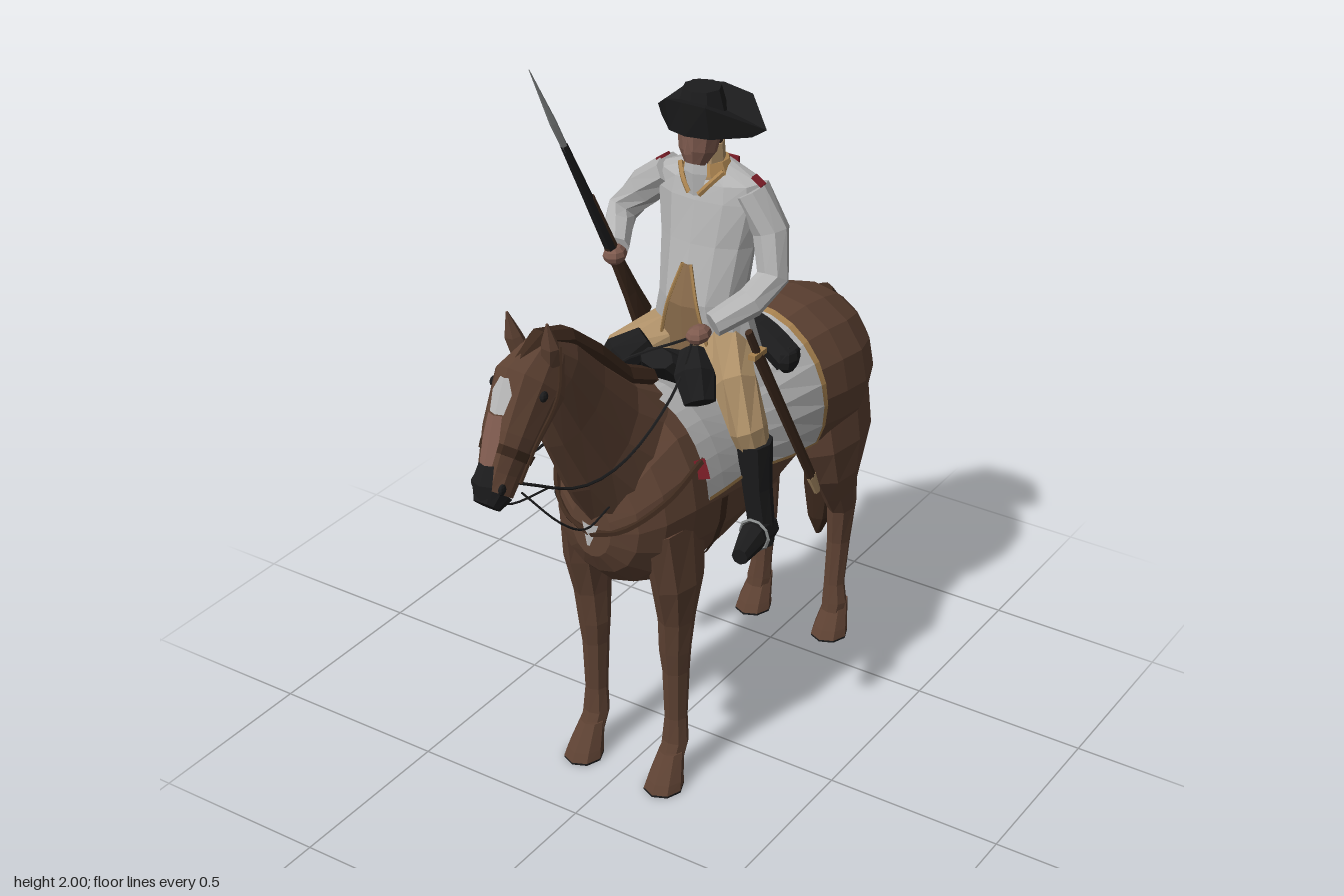
import * as THREE from 'three';

const mat = (name, color, side = THREE.FrontSide) => {
  const m = new THREE.MeshStandardMaterial({ color, side });
  m.name = name;
  return m;
};
const V = (x, y, z) => new THREE.Vector3(x, y, z);

export function createModel() {
  const D = THREE.DoubleSide;
  const brown = mat('horse brown', 0x5e4233), dark = mat('dark brown', 0x3d291d, D);
  const white = mat('coat white', 0xb6b6b6, D), tan = mat('breeches tan', 0xae9068, D);
  const ochre = mat('trim ochre', 0xa8824f, D), black = mat('black', 0x1c1c1d, D);
  const skin = mat('skin', 0x7f5b4f, D), red = mat('red', 0x7c1d27, D), steel = mat('steel', 0x858888);
  const drab = mat('waistcoat brown', 0x8a6c4c, D);

  const model = new THREE.Group();
  const horse = new THREE.Group(); horse.name = 'horse';
  const rider = new THREE.Group(); rider.name = 'rider';
  model.add(horse, rider);

  // Faceted mesh
  function add(group, name, geo, material, x = 0, y = 0, z = 0) {
    const g = geo.index ? geo.toNonIndexed() : geo;
    g.computeVertexNormals();
    const m = new THREE.Mesh(g, material);
    m.name = name;
    m.position.set(x, y, z);
    group.add(m);
    return m;
  }
  // Skin over rings of points; closed rings get end caps
  function loft(rings, closed = true) {
    const p = [], n = rings[0].length;
    const tri = (...v) => v.forEach(q => p.push(q.x, q.y, q.z));
    for (let i = 0; i + 1 < rings.length; i++)
      for (let j = 0; j < (closed ? n : n - 1); j++) {
        const k = (j + 1) % n, a = rings[i], b = rings[i + 1];
        tri(a[j], a[k], b[k]);
        tri(a[j], b[k], b[j]);
      }
    if (closed) [[rings[0], true], [rings[rings.length - 1], false]].forEach(([r, flip]) => {
      const c = r.reduce((s, q) => s.add(q), V(0, 0, 0)).divideScalar(n);
      for (let j = 0; j < n; j++) {
        const k = (j + 1) % n;
        flip ? tri(c, r[k], r[j]) : tri(c, r[j], r[k]);
      }
    });
    const g = new THREE.BufferGeometry();
    g.setAttribute('position', new THREE.Float32BufferAttribute(p, 3));
    return g;
  }
  // Limb through sections [x, y, z, half width, half depth]
  function limb(pts, n = 8, s = 1) {
    const c = pts.map(q => V(q[0] * s, q[1], q[2]));
    return loft(pts.map((q, i) => {
      const t = c[Math.min(i + 1, c.length - 1)].clone().sub(c[Math.max(i - 1, 0)]).normalize();
      const side = V(1, 0, 0).addScaledVector(t, -t.x).normalize();
      const d = t.clone().cross(side);
      return Array.from({ length: n }, (_, j) => {
        const a = j / n * Math.PI * 2;
        return c[i].clone().addScaledVector(side, Math.cos(a) * q[3]).addScaledVector(d, Math.sin(a) * q[4]);
      });
    }));
  }
  // Front-facing strip through rows [y, half width, z]
  const panel = (rows, drop) => loft(rows.map(([y, h, z]) =>
    [V(-h, y, z - h * drop), V(0, y, z), V(h, y, z - h * drop)]), false);
  const cord = (pts, r = 0.005, n = 5) => new THREE.TubeGeometry(
    new THREE.CatmullRomCurve3(pts.map(p => V(...p))), 14, r, n);
  const level = (x, y, z, rx, rz) => Array.from({ length: 8 }, (_, j) =>
    V(x + Math.cos(j * Math.PI / 4) * rx, y, z - Math.sin(j * Math.PI / 4) * rz));
  const ball = (r, sx, sy, sz) => new THREE.SphereGeometry(r, 8, 6).scale(sx, sy, sz);
  const both = fn => [1, -1].forEach(fn);

  // Horse barrel: [z, half width, top, bottom]
  const barrel = [
    [-0.8, 0.07, 1.0, 0.8], [-0.77, 0.145, 1.04, 0.73], [-0.7, 0.198, 1.09, 0.68], [-0.6, 0.232, 1.125, 0.65],
    [-0.5, 0.23, 1.14, 0.66], [-0.4, 0.21, 1.135, 0.675], [-0.2, 0.208, 1.08, 0.63], [0, 0.207, 1.08, 0.6],
    [0.12, 0.205, 1.13, 0.585], [0.22, 0.2, 1.14, 0.6], [0.31, 0.17, 1.08, 0.64], [0.37, 0.125, 1.0, 0.7],
    [0.402, 0.06, 0.93, 0.76]];
  function barrelAt(z) {
    let i = 0;
    while (i < barrel.length - 2 && barrel[i + 1][0] < z) i++;
    const a = barrel[i], b = barrel[i + 1], t = (z - a[0]) / (b[0] - a[0]);
    const [w, top, bot] = [1, 2, 3].map(k => a[k] + (b[k] - a[k]) * t);
    return { w, cy: (top + bot) / 2, h: (top - bot) / 2 };
  }
  const barrelPoint = (z, a, off) => {
    const { w, cy, h } = barrelAt(z);
    return V(Math.cos(a) * (w + off), cy + Math.sin(a) * (h + off), z);
  };
  const angleFor = (z, y) => {
    const { cy, h } = barrelAt(z);
    return Math.asin(THREE.MathUtils.clamp((y - cy) / h, -1, 1));
  };
  const wrap = (zs, from, to, off, n = 12) => loft(zs.map(z =>
    Array.from({ length: n + 1 }, (_, j) => barrelPoint(z, from(z) + (to(z) - from(z)) * j / n, off))), false);
  add(horse, 'body', loft(barrel.map(([z]) =>
    Array.from({ length: 16 }, (_, j) => barrelPoint(z, j / 8 * Math.PI, 0)))), brown);

  // Neck, head and muzzle
  add(horse, 'neck', limb([[0, 0.985, 0.24, 0.135, 0.205], [0, 1.1, 0.36, 0.09, 0.165], [0, 1.24, 0.47, 0.07, 0.13],
    [0, 1.36, 0.555, 0.06, 0.1], [0, 1.42, 0.61, 0.05, 0.07]], 12), brown);
  add(horse, 'head', limb([[0, 1.43, 0.57, 0.05, 0.065], [0, 1.37, 0.64, 0.08, 0.115], [0, 1.27, 0.72, 0.067, 0.085],
    [0, 1.19, 0.77, 0.05, 0.065], [0, 1.15, 0.8, 0.048, 0.057]], 12), brown);
  add(horse, 'muzzle', limb([[0, 1.15, 0.8, 0.048, 0.057], [0, 1.123, 0.825, 0.034, 0.035]], 12), black);
  add(horse, 'nosePatch', panel([[1.235, 0.022, 0.827], [1.19, 0.03, 0.851], [1.145, 0.024, 0.85]], 0.35), black);
  add(horse, 'blaze', panel([1.43, 1.395, 1.35].map((y, i) => [y, [0.012, 0.028, 0.02][i], 0.737 + (1.44 - y) * 0.478]), 0.35), white);
  add(horse, 'noseStripe', panel([1.35, 1.29, 1.235].map((y, i) => [y, [0.02, 0.024, 0.018][i], 0.796 + (1.323 - y) * 0.37]), 0.35), skin);
  add(horse, 'mane', limb([[0, 1.17, 0.15, 0.04, 0.026], [0, 1.225, 0.265, 0.042, 0.03], [0, 1.345, 0.39, 0.04, 0.03],
    [0, 1.435, 0.5, 0.035, 0.028], [0, 1.475, 0.6, 0.028, 0.022], [0, 1.435, 0.71, 0.01, 0.012]], 6), dark);
  add(horse, 'tail', limb([[0, 1.04, -0.75, 0.03, 0.03], [0, 0.97, -0.8, 0.05, 0.035], [0, 0.85, -0.797, 0.058, 0.048],
    [0, 0.6, -0.782, 0.062, 0.064], [0, 0.4, -0.78, 0.055, 0.056], [0, 0.29, -0.772, 0.035, 0.038], [0, 0.23, -0.77, 0.008, 0.015]]), dark);

  both(s => {
    add(horse, 'ear', limb([[0.042, 1.43, 0.615, 0.028, 0.024], [0.054, 1.48, 0.63, 0.025, 0.02], [0.058, 1.545, 0.645, 0.003, 0.003]], 6, s), brown);
    add(horse, 'eye', ball(0.014, 0.6, 1, 1), black, 0.073 * s, 1.375, 0.685);
    add(horse, 'nostril', ball(0.014, 0.5, 1.1, 1), black, 0.04 * s, 1.175, 0.815);
    // Legs and hooves
    add(horse, 'frontLeg', limb([[0.13, 0.82, 0.22, 0.06, 0.12], [0.14, 0.64, 0.215, 0.058, 0.09], [0.135, 0.52, 0.212, 0.047, 0.058],
      [0.13, 0.42, 0.212, 0.043, 0.046], [0.13, 0.35, 0.208, 0.036, 0.04], [0.13, 0.2, 0.208, 0.031, 0.033],
      [0.13, 0.12, 0.212, 0.038, 0.036], [0.13, 0.07, 0.232, 0.034, 0.034]], 8, s), brown);
    add(horse, 'hindLeg', limb([[0.11, 0.85, -0.6, 0.09, 0.16], [0.135, 0.68, -0.61, 0.08, 0.148], [0.14, 0.58, -0.612, 0.065, 0.098],
      [0.135, 0.5, -0.64, 0.047, 0.069], [0.13, 0.42, -0.67, 0.04, 0.051], [0.125, 0.3, -0.668, 0.033, 0.039],
      [0.125, 0.16, -0.65, 0.031, 0.032], [0.13, 0.1, -0.645, 0.038, 0.036], [0.13, 0.07, -0.638, 0.034, 0.034]], 8, s), brown);
    [0.272, -0.617].forEach(z => {
      add(horse, 'hoof', loft([level(0.132 * s, 0.006, z, 0.054, 0.058), level(0.132 * s, 0.03, z - 0.008, 0.05, 0.052),
        level(0.13 * s, 0.1, z - 0.04, 0.035, 0.035)]), brown);
      add(horse, 'sole', loft([level(0.132 * s, 0, z, 0.054, 0.058), level(0.132 * s, 0.006, z, 0.054, 0.058)]), black);
    });
    // Bridle, reins and breast strap
    add(horse, 'rein', cord([[0.05 * s, 1.17, 0.76], [0.1 * s, 1.09, 0.59], [0.11 * s, 1.08, 0.4], [0.1 * s, 1.17, 0.16], [0.1, 1.28, 0.08]], 0.004), black);
    add(horse, 'looseRein', cord([[0.04 * s, 1.13, 0.74], [0.1 * s, 1.03, 0.67], [0.11 * s, 0.97, 0.58], [0.09 * s, 0.96, 0.45]], 0.003), black);
    add(horse, 'cheekStrap', cord([[0.055 * s, 1.46, 0.59], [0.084 * s, 1.36, 0.645], [0.07 * s, 1.26, 0.715], [0.053 * s, 1.17, 0.76]], 0.005), dark);
    add(horse, 'breastStrap', cord([[0.195 * s, 1.0, 0.18], [0.17 * s, 0.93, 0.31], [0.09 * s, 0.86, 0.39], [0, 0.83, 0.408]], 0.009), dark);
  });
  add(horse, 'noseband', limb([[0, 1.24, 0.735, 0.064, 0.083], [0, 1.222, 0.749, 0.061, 0.079]], 12), dark);
  add(horse, 'breastOrnament', panel([[0.86, 0.025, 0.414], [0.8, 0.004, 0.418]], 0.3), white);
  add(horse, 'girth', wrap([0.085, 0.115], () => Math.PI, () => Math.PI * 2, 0.006), dark);

  // Saddle cloth with trim and corner patches
  const zs = [-0.385, -0.2, 0, 0.12, 0.19];
  const low = z => angleFor(z, 0.88 + (z < 0 ? z * 0.23 : z * 0.05));
  add(horse, 'saddleCloth', wrap(zs, low, z => Math.PI - low(z), 0.018, 16), white);
  add(horse, 'clothRearTrim', wrap([-0.39, -0.37], low, z => Math.PI - low(z), 0.022, 16), ochre);
  [[z => low(z), z => low(z) + 0.035], [z => Math.PI - low(z) - 0.035, z => Math.PI - low(z)]].forEach(([a, b]) =>
    add(horse, 'clothLowerTrim', wrap(zs, a, b, 0.022, 2), ochre));
  add(horse, 'rearClothPatch', wrap([-0.362, -0.318], z => Math.PI - low(z) - 0.32, z => Math.PI - low(z) - 0.07, 0.023, 3), red);
  // Red edging at the cloth's front corners, turned to the front
  const edge = (from, to) => loft([0.03, -0.004].map(off => [0, 1, 2, 3].map(j =>
    barrelPoint(0.19, from + (to - from) * j / 3, off).setZ(0.194 - off * 0.2))), false);
  add(horse, 'frontClothPatch', edge(Math.PI - 0.95, Math.PI - 0.42), red);
  add(horse, 'frontClothPatch', edge(0.3, 0.5), red);

  // Saddle, holsters and rear pack
  add(horse, 'saddle', limb([[0, 1.12, -0.28, 0.13, 0.04], [0, 1.1, -0.12, 0.13, 0.04], [0, 1.14, 0.04, 0.1, 0.045], [0, 1.2, 0.1, 0.05, 0.03]]), black);
  both(s => {
    add(horse, 'holster', limb([[0.07, 1.215, 0.045, 0.035, 0.03], [0.11, 1.175, 0.09, 0.055, 0.063], [0.145, 1.12, 0.12, 0.042, 0.045]], 8, s), black);
    add(horse, 'packEnd', ball(0.043, 0.7, 1, 1), black, 0.172 * s, 1.088, -0.27);
  });
  add(horse, 'rearPack', cord([[-0.175, 1.085, -0.27], [-0.09, 1.135, -0.28], [0, 1.15, -0.285], [0.09, 1.135, -0.28], [0.175, 1.085, -0.27]], 0.044, 7), black);

  // Rider's coat and front
  add(rider, 'coat', limb([[0, 1.07, -0.142, 0.19, 0.095], [0, 1.18, -0.13, 0.155, 0.1], [0, 1.3, -0.12, 0.12, 0.1],
    [0, 1.45, -0.145, 0.135, 0.09], [0, 1.57, -0.155, 0.155, 0.078], [0, 1.625, -0.155, 0.145, 0.066], [0, 1.66, -0.145, 0.06, 0.045]], 12), white);
  add(rider, 'waistcoat', panel([[1.41, 0.01, -0.038], [1.3, 0.045, -0.013], [1.18, 0.075, -0.02], [1.12, 0.085, -0.024]], 0.22), drab);
  add(rider, 'napePatch', new THREE.BoxGeometry(0.035, 0.05, 0.008), red, 0.03, 1.632, -0.212);
  both(s => {
    add(rider, 'lowerTrim', cord([[0.075 * s, 1.18, -0.03], [0.045 * s, 1.3, -0.02], [0.012 * s, 1.41, -0.04]], 0.005), ochre);
    add(rider, 'collarTrim', cord([[0.015 * s, 1.595, -0.073], [0.04 * s, 1.625, -0.085], [0.065 * s, 1.655, -0.11]], 0.008), ochre);
    add(rider, 'shoulderStrap', new THREE.BoxGeometry(0.035, 0.008, 0.02).rotateZ(-0.6 * s), red, 0.145 * s, 1.636, -0.15);
    // Legs, boots and stirrups
    add(rider, 'thigh', limb([[0.07, 1.18, -0.1, 0.075, 0.075], [0.17, 1.12, -0.01, 0.06, 0.075], [0.228, 1.02, 0.015, 0.046, 0.058], [0.24, 0.95, 0, 0.038, 0.045]], 8, s), tan);
    add(rider, 'boot', limb([[0.24, 0.985, 0.005, 0.046, 0.054], [0.248, 0.85, 0, 0.036, 0.046], [0.26, 0.73, -0.005, 0.034, 0.038], [0.26, 0.68, -0.005, 0.034, 0.036]], 8, s), black);
    add(rider, 'bootFoot', limb([[0.26, 0.715, -0.035, 0.034, 0.035], [0.27, 0.73, 0.06, 0.038, 0.042], [0.285, 0.72, 0.145, 0.022, 0.025]], 8, s), black);
    add(rider, 'stirrup', new THREE.TorusGeometry(0.043, 0.005, 4, 10), steel, 0.268 * s, 0.73, 0.045);
  });

  // Arms and hands
  add(rider, 'rightArm', limb([[-0.12, 1.605, -0.155, 0.045, 0.055], [-0.21, 1.53, -0.165, 0.05, 0.05], [-0.272, 1.455, -0.15, 0.042, 0.046], [-0.24, 1.435, -0.08, 0.04, 0.042], [-0.19, 1.42, 0, 0.033, 0.034]]), white);
  add(rider, 'leftArm', limb([[0.12, 1.605, -0.155, 0.045, 0.055], [0.175, 1.5, -0.165, 0.048, 0.05], [0.198, 1.385, -0.14, 0.043, 0.047], [0.18, 1.34, -0.06, 0.04, 0.042], [0.125, 1.3, 0.03, 0.033, 0.034]]), white);
  add(rider, 'rightHand', ball(0.03, 1, 0.9, 1.2), skin, -0.18, 1.415, 0.022);
  add(rider, 'leftHand', ball(0.03, 1, 0.8, 1.4), skin, 0.108, 1.285, 0.07);

  // Head, collar and hair
  add(rider, 'neck', new THREE.CylinderGeometry(0.045, 0.052, 0.09, 8), tan, 0, 1.675, -0.135);
  add(rider, 'collar', new THREE.CylinderGeometry(0.054, 0.07, 0.03, 10), ochre, 0, 1.658, -0.142);
  add(rider, 'neckcloth', panel([[1.7, 0.03, -0.073], [1.65, 0.035, -0.066], [1.59, 0.015, -0.07]], 0.4), white);
  add(rider, 'head', limb([[0, 1.675, -0.08, 0.028, 0.03], [0, 1.71, -0.092, 0.048, 0.052], [0, 1.76, -0.1, 0.055, 0.06], [0, 1.81, -0.1, 0.05, 0.055]], 10), skin);
  add(rider, 'nose', new THREE.ConeGeometry(0.012, 0.04, 4), skin, 0, 1.735, -0.042);
  add(rider, 'hair', limb([[0, 1.715, -0.14, 0.04, 0.025], [0, 1.74, -0.135, 0.05, 0.035], [0, 1.79, -0.132, 0.055, 0.04]]), dark);

  // Three-cornered hat: half outlines mirrored into closed rings
  const ring = half => [...half, ...half.slice(1, -1).reverse().map(([x, y, z]) => [-x, y, z])].map(p => V(...p));
  const brimLow = ring([[0, 1.765, -0.03], [0.06, 1.762, -0.05], [0.135, 1.758, -0.13], [0.08, 1.765, -0.175], [0, 1.77, -0.18]]);
  const brimTop = ring([[0, 1.86, -0.015], [0.06, 1.853, -0.03], [0.163, 1.775, -0.155], [0.09, 1.84, -0.206], [0, 1.85, -0.213]]);
  add(rider, 'hatBrim', loft([brimLow, brimTop]), black);
  add(rider, 'hatCrown', new THREE.CylinderGeometry(0.05, 0.078, 0.1, 8), black, 0, 1.823, -0.11);

  // Musket with bayonet, held in the right hand
  add(rider, 'bayonet', limb([[-0.21, 1.75, 0.181, 0.009, 0.009], [-0.218, 1.84, 0.224, 0.01, 0.01], [-0.23, 2.0, 0.3, 0.001, 0.001]], 5), steel);
  add(rider, 'barrel', limb([[-0.183, 1.42, 0.024, 0.016, 0.018], [-0.212, 1.77, 0.19, 0.01, 0.01]], 6), black);
  add(rider, 'stock', limb([[-0.165, 1.2, -0.08, 0.018, 0.04], [-0.172, 1.29, -0.037, 0.017, 0.028], [-0.18, 1.38, 0.005, 0.017, 0.02], [-0.2, 1.6, 0.105, 0.014, 0.016]], 6), dark);

  // Sword on the left hip
  add(rider, 'scabbard', limb([[0.2, 1.19, -0.07, 0.012, 0.018], [0.245, 0.74, -0.285, 0.01, 0.016]], 6), dark);
  add(rider, 'scabbardTip', limb([[0.245, 0.74, -0.285, 0.011, 0.017], [0.25, 0.68, -0.312, 0.008, 0.012]], 6), tan);
  add(rider, 'swordHilt', limb([[0.2, 1.19, -0.07, 0.01, 0.012], [0.192, 1.27, -0.035, 0.01, 0.012]], 6), dark);
  add(rider, 'swordGuard', new THREE.BoxGeometry(0.02, 0.015, 0.06), ochre, 0.2, 1.195, -0.068);
  // Strap hanging at the back of the coat
  add(rider, 'backStrap', cord([[-0.005, 1.42, -0.238], [-0.06, 1.3, -0.215], [-0.1, 1.17, -0.212]], 0.006), red);
  return model;
}
